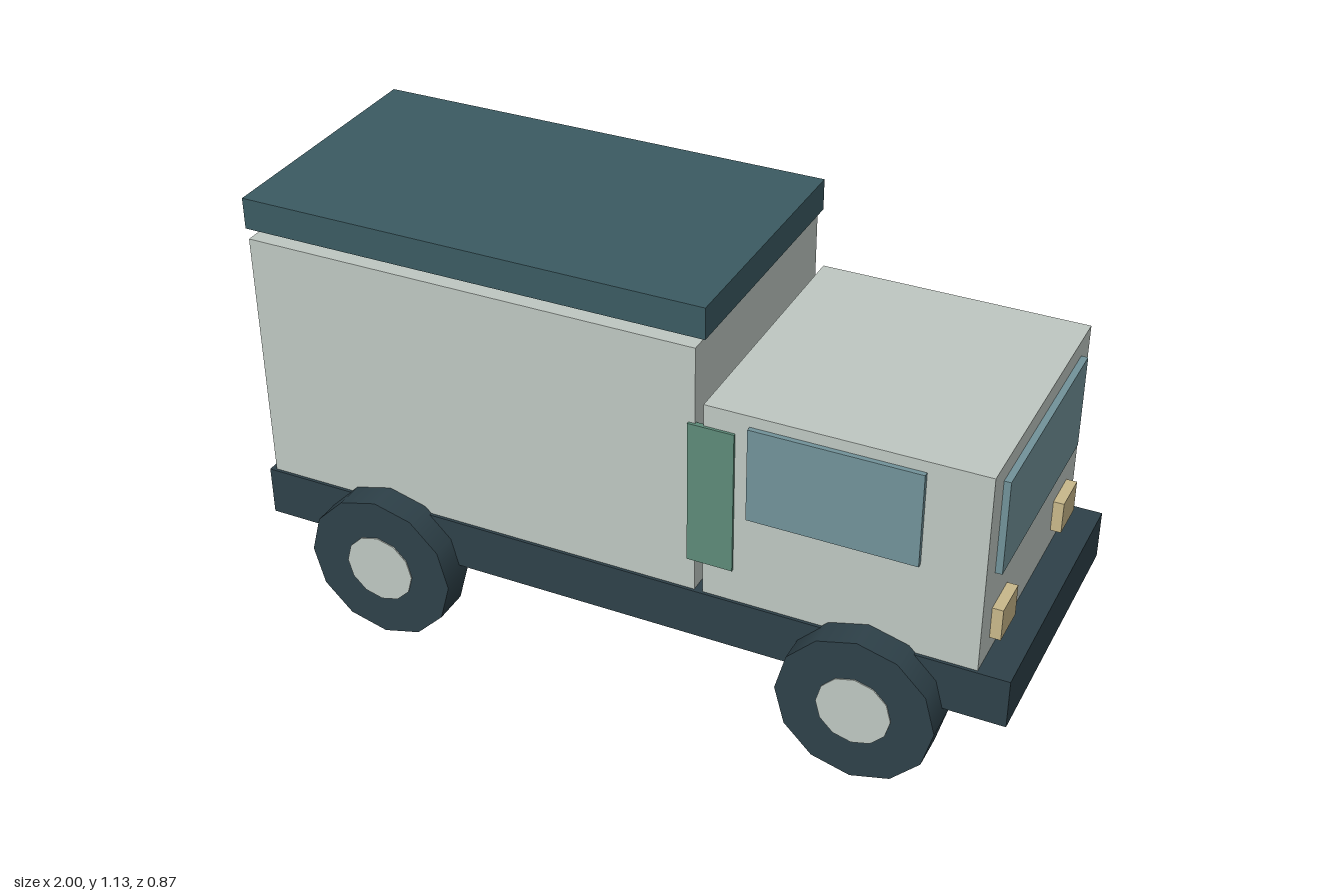
import * as THREE from 'three';

const paint = (name, color) => {
  const m = new THREE.MeshStandardMaterial({ color });
  m.name = name;
  return m;
};

export function createModel() {
  const truck = new THREE.Group();
  truck.name = 'boxTruck';

  const body = paint('paleGrey', 0xbfc8c2);
  const dark = paint('darkSlate', 0x2e4149);
  const roof = paint('deepTeal', 0x3b5b62);
  const glass = paint('blueGlass', 0x72939a);
  const green = paint('green', 0x5d8b79);
  const lamp = paint('warmYellow', 0xc9b98b);

  // Box given by its lower and upper limits on each axis
  const box = (name, mat, [x0, x1], [y0, y1], [z0, z1]) => {
    const mesh = new THREE.Mesh(new THREE.BoxGeometry(x1 - x0, y1 - y0, z1 - z0), mat);
    mesh.position.set((x0 + x1) / 2, (y0 + y1) / 2, (z0 + z1) / 2);
    mesh.name = name;
    truck.add(mesh);
  };

  // Chassis, cargo box, floating roof and cab
  box('chassis', dark, [-1, 1], [0.225, 0.357], [-0.365, 0.365]);
  box('cargoBox', body, [-0.985, 0.207], [0.357, 1.03], [-0.357, 0.357]);
  box('cargoRoof', roof, [-1, 0.226], [1.05, 1.132], [-0.346, 0.346]);
  box('cab', body, [0.228, 0.919], [0.357, 0.887], [-0.357, 0.357]);
  box('windshield', glass, [0.915, 0.936], [0.59, 0.84], [-0.29, 0.29]);

  // Wheel: twelve-sided tyre with a hub showing on both faces
  const tyreGeo = new THREE.CylinderGeometry(0.2, 0.2, 0.096, 12).rotateX(Math.PI / 2);
  const hubGeo = new THREE.CylinderGeometry(0.094, 0.094, 0.102, 12).rotateX(Math.PI / 2);
  const addWheel = (x, z) => {
    const wheel = new THREE.Group();
    wheel.name = 'wheel';
    const tyre = new THREE.Mesh(tyreGeo, dark);
    tyre.name = 'tyre';
    const hub = new THREE.Mesh(hubGeo, body);
    hub.name = 'hub';
    wheel.add(tyre, hub);
    wheel.position.set(x, 0.2, z);
    truck.add(wheel);
  };

  // Parts mirrored on both sides
  for (const s of [1, -1]) {
    const span = (a, b) => (s > 0 ? [a, b] : [-b, -a]);
    box('sideWindow', glass, [0.342, 0.765], [0.61, 0.858], span(0.35, 0.37));
    box('sidePanel', green, [0.19, 0.307], [0.447, 0.83], span(0.35, 0.364));
    box('headlight', lamp, [0.915, 0.946], [0.402, 0.487], span(0.178, 0.285));
    addWheel(-0.638, s * 0.386);
    addWheel(0.652, s * 0.386);
  }
  return truck;
}
